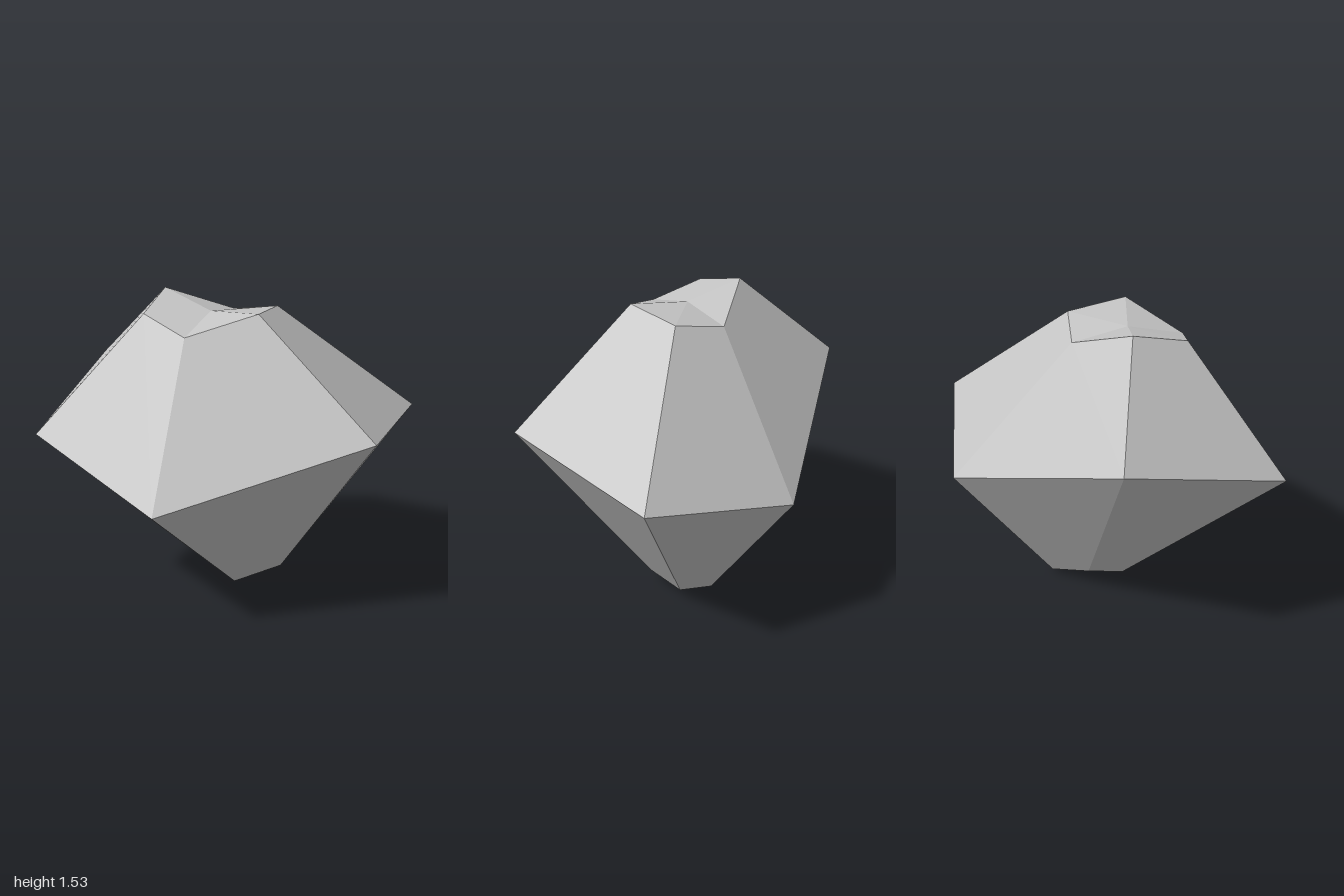
import * as THREE from 'three';

// Six-sided outline shared by every level of the stone, as [x, z]
const OUTLINE = [[1, -0.02], [0.473, 0.72], [-0.568, 0.595], [-1, -0.052], [-0.525, -0.722], [0.52, -0.632]];

// Levels from bottom to top: centre, outline scale and corner heights
const LEVELS = [
  { x: 0.112, z: -0.06, scale: 0.237, y: [0.053, 0.073, 0, 0.053, 0.11, 0.017] },
  { x: 0, z: 0, scale: 1, y: [0.863, 0.953, 0.66, 0.888, 1.09, 0.715] },
  { x: -0.108, z: -0.015, scale: 0.34, y: [1.455, 1.485, 1.385, 1.46, 1.53, 1.403] },
];

const ringOf = ({ x, z, scale, y }) =>
  OUTLINE.map(([px, pz], i) => new THREE.Vector3(x + px * scale, y[i], z + pz * scale));

const middleOf = (ring) =>
  ring.reduce((sum, p) => sum.add(p), new THREE.Vector3()).divideScalar(ring.length);

export function createModel() {
  const stone = new THREE.MeshStandardMaterial({ color: 0xc4c4c4, flatShading: true });
  stone.name = 'light grey stone';

  const rings = LEVELS.map(ringOf);
  const [bottom, , top] = rings;
  const bottomMiddle = middleOf(bottom);
  const topMiddle = middleOf(top);
  const corners = [];

  for (let i = 0; i < 6; i++) {
    const j = (i + 1) % 6;
    // Sloping sides below and above the girdle
    for (let k = 0; k < 2; k++) {
      const low = rings[k], high = rings[k + 1];
      corners.push(low[i], high[i], high[j], low[i], high[j], low[j]);
    }
    // Small faceted caps
    corners.push(topMiddle, top[j], top[i]);
    corners.push(bottomMiddle, bottom[i], bottom[j]);
  }

  // Separate corners per face keep the facets crisp
  const geometry = new THREE.BufferGeometry().setFromPoints(corners);
  geometry.computeVertexNormals();

  const rock = new THREE.Mesh(geometry, stone);
  rock.name = 'rock';
  const model = new THREE.Group();
  model.name = 'facetedRock';
  model.add(rock);
  return model;
}
